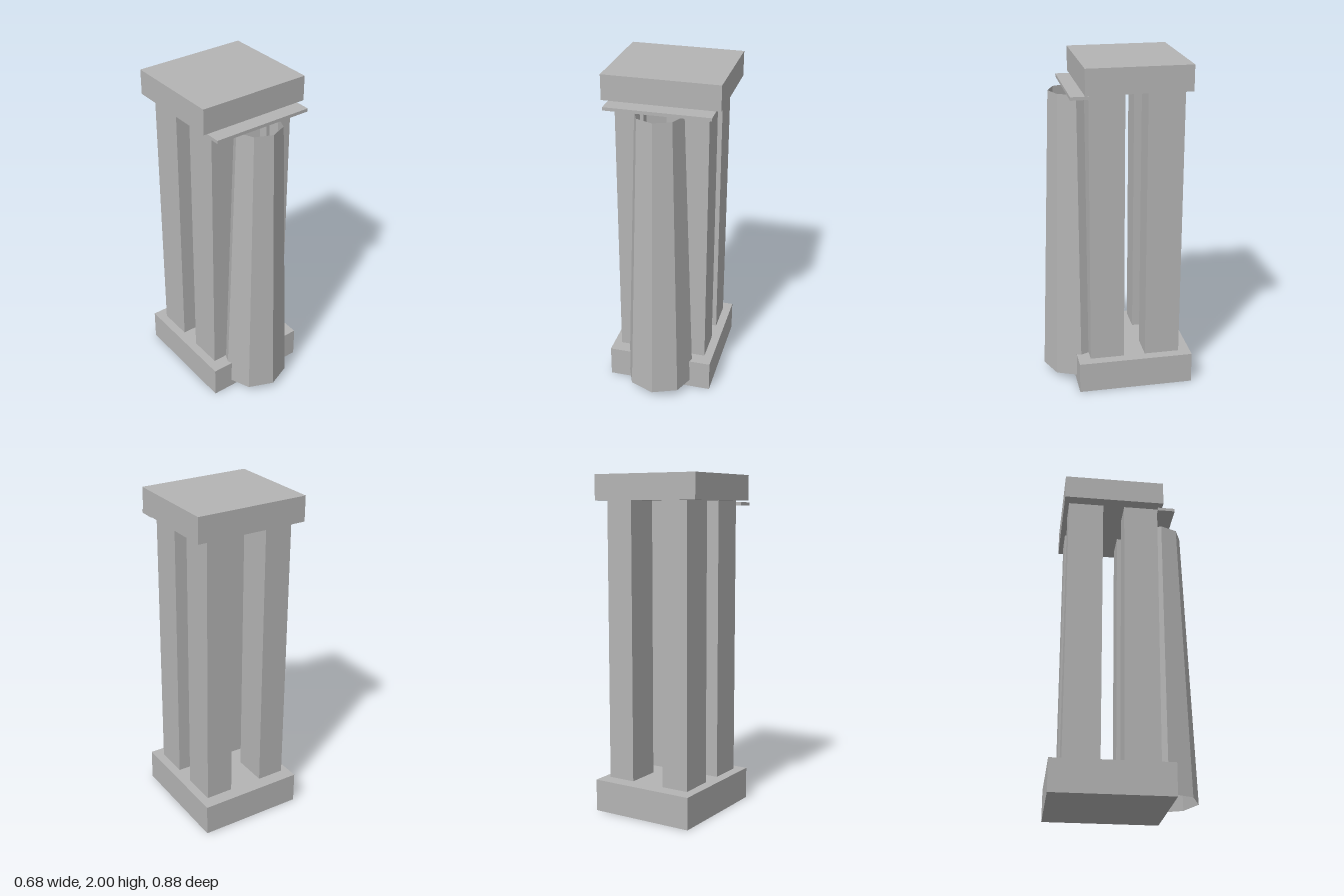
import * as THREE from 'three';

export function createModel() {
  const model = new THREE.Group();
  const stone = new THREE.MeshStandardMaterial({ color: 0xb4b4b4 });
  stone.name = 'stone grey';
  const shell = new THREE.MeshStandardMaterial({ color: 0xb4b4b4, side: THREE.DoubleSide, flatShading: true });
  shell.name = 'open shell grey';

  // Box given by its lower and upper limits on each axis
  function block(name, [x0, x1], [y0, y1], [z0, z1]) {
    const mesh = new THREE.Mesh(new THREE.BoxGeometry(x1 - x0, y1 - y0, z1 - z0), stone);
    mesh.position.set((x0 + x1) / 2, (y0 + y1) / 2, (z0 + z1) / 2);
    mesh.name = name;
    model.add(mesh);
  }

  // Plinth, cap slab and the thin ledge under the cap
  block('base', [-0.322, 0.322], [0, 0.191], [-0.441, 0.259]);
  block('cap', [-0.341, 0.341], [1.851, 2], [-0.395, 0.213]);
  block('ledge', [-0.308, 0.308], [1.822, 1.841], [0.184, 0.289]);

  // Four square pillars, standing just clear of the base
  for (const side of [-1, 1]) {
    const x = side > 0 ? [0.104, 0.272] : [-0.272, -0.104];
    const label = side > 0 ? 'Left' : 'Right';
    block('front' + label + 'Pillar', x, [0.197, 1.851], [-0.023, 0.184]);
    block('back' + label + 'Pillar', x, [0.197, 1.851], [-0.367, -0.154]);
  }

  // Tapered eight-sided column, an open tube
  const y0 = 0.048, y1 = 1.813;
  const column = new THREE.Mesh(new THREE.CylinderGeometry(0.143, 0.208, y1 - y0, 8, 1, true), shell);
  column.position.set(0, (y0 + y1) / 2, 0.232);
  column.name = 'taperedColumn';
  model.add(column);

  return model;
}
